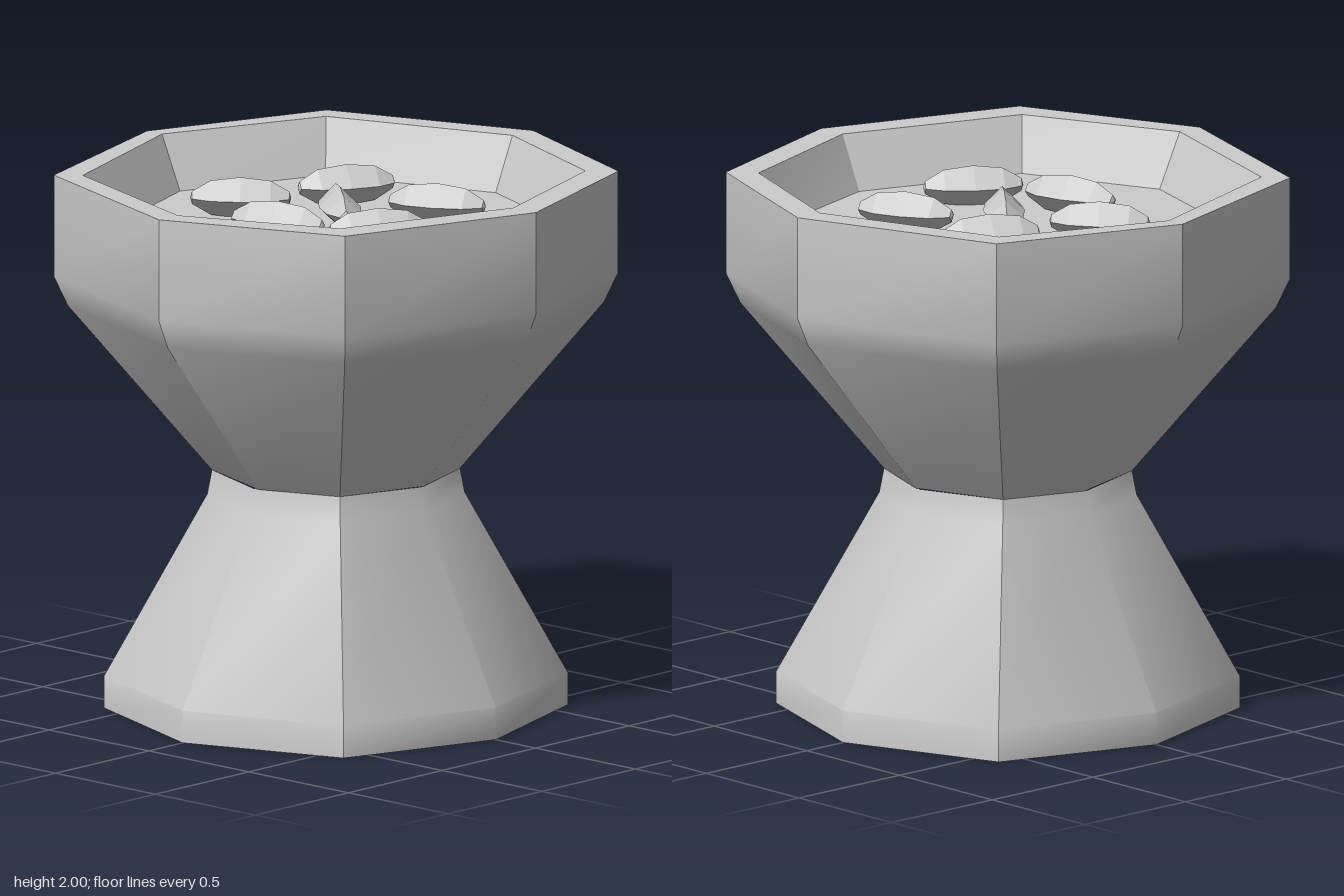
import * as THREE from 'three';
import { toCreasedNormals } from 'three/addons/utils/BufferGeometryUtils.js';

const grey = new THREE.MeshStandardMaterial({ color: 0xcccccc });
const facetGrey = new THREE.MeshStandardMaterial({ color: 0xcccccc, flatShading: true });

// An outline is a loop of [x, z] corners; a ring is that outline scaled at height y
const ring = (outline, scale, y) =>
  outline.map(([x, z]) => new THREE.Vector3(x * scale, y, z * scale));

// Skin a stack of rings, optionally capping the first and last one
function loft(rings, creaseDegrees, capFirst, capLast) {
  const pos = [];
  const tri = (...corners) => corners.forEach((c) => pos.push(c.x, c.y, c.z));
  const n = rings[0].length;
  for (let r = 0; r < rings.length - 1; r++) {
    const low = rings[r], high = rings[r + 1];
    for (let i = 0; i < n; i++) {
      const j = (i + 1) % n;
      tri(low[i], low[j], high[j]);
      tri(low[i], high[j], high[i]);
    }
  }
  const first = rings[0], last = rings[rings.length - 1];
  for (let i = 1; i < n - 1; i++) {
    if (capFirst) tri(first[0], first[i + 1], first[i]);
    if (capLast) tri(last[0], last[i], last[i + 1]);
  }
  const geo = new THREE.BufferGeometry();
  geo.setAttribute('position', new THREE.Float32BufferAttribute(pos, 3));
  return toCreasedNormals(geo, THREE.MathUtils.degToRad(creaseDegrees));
}

function addMesh(parent, name, geometry, material = grey) {
  const mesh = new THREE.Mesh(geometry, material);
  mesh.name = name;
  parent.add(mesh);
  return mesh;
}

export function createModel() {
  const model = new THREE.Group();
  model.name = 'pedestalBowl';

  // Flared octagonal foot
  const footOutline = [[0, 0.82], [0.6, 0.6], [0.8, 0], [0.6, -0.6],
    [0, -0.82], [-0.6, -0.6], [-0.8, 0], [-0.6, 0.6]];
  const footProfile = [[1, 0], [1, 0.12], [0.555, 0.8], [0.535, 0.89]];
  addMesh(model, 'foot',
    loft(footProfile.map(([s, y]) => ring(footOutline, s, y)), 42, true, false));

  // Bowl: slightly irregular octagon, rim and sunken floor in one skin
  const bowlOutline = [[0.05, 1], [0.73, 0.73], [0.975, -0.03], [0.73, -0.73],
    [0.05, -1], [-0.73, -0.73], [-0.975, -0.03], [-0.73, 0.73]];
  const rimOutline = [[0.05, 0.9], [0.63, 0.65], [0.86, -0.03], [0.64, -0.65],
    [0.05, -0.89], [-0.66, -0.65], [-0.9, -0.03], [-0.65, 0.66]];
  const floorOutline = [[0.05, 0.8], [0.565, 0.59], [0.77, -0.03], [0.6, -0.585],
    [0.05, -0.8], [-0.6, -0.585], [-0.81, -0.03], [-0.585, 0.59]];
  const bowlProfile = [[0.44, 0.89], [0.95, 1.51], [1, 1.62], [1, 2]];
  addMesh(model, 'bowl', loft([
    ...bowlProfile.map(([s, y]) => ring(bowlOutline, s, y)),
    ring(rimOutline, 1, 2),
    ring(floorOutline, 1, 1.8),
  ], 30, true, true));

  // Four-sided spindle grains lying on the bowl floor
  const grainProfile = [[0, -0.185], [0.024, -0.178], [0.064, -0.11], [0.077, 0],
    [0.064, 0.11], [0.024, 0.178], [0, 0.185]].map(([r, y]) => new THREE.Vector2(r, y));
  const grainGeometry = new THREE.LatheGeometry(grainProfile, 4).rotateZ(Math.PI / 2);

  const grains = new THREE.Group();
  grains.name = 'grains';
  model.add(grains);
  // x, z, then the direction of the long axis in x and z
  [[-0.23, -0.3, 34, -59], [0.225, -0.3, 61, -31], [0, -0.02, 55, 45],
    [-0.365, 0.12, 53, -47], [0.345, 0.145, 40, -58], [0, 0.31, 65, -21],
  ].forEach(([x, z, dx, dz], i) => {
    const grain = addMesh(grains, `grain${i + 1}`, grainGeometry, facetGrey);
    grain.position.set(x, 1.87, z);
    grain.rotation.y = Math.atan2(-dz, dx);
  });

  return model;
}
